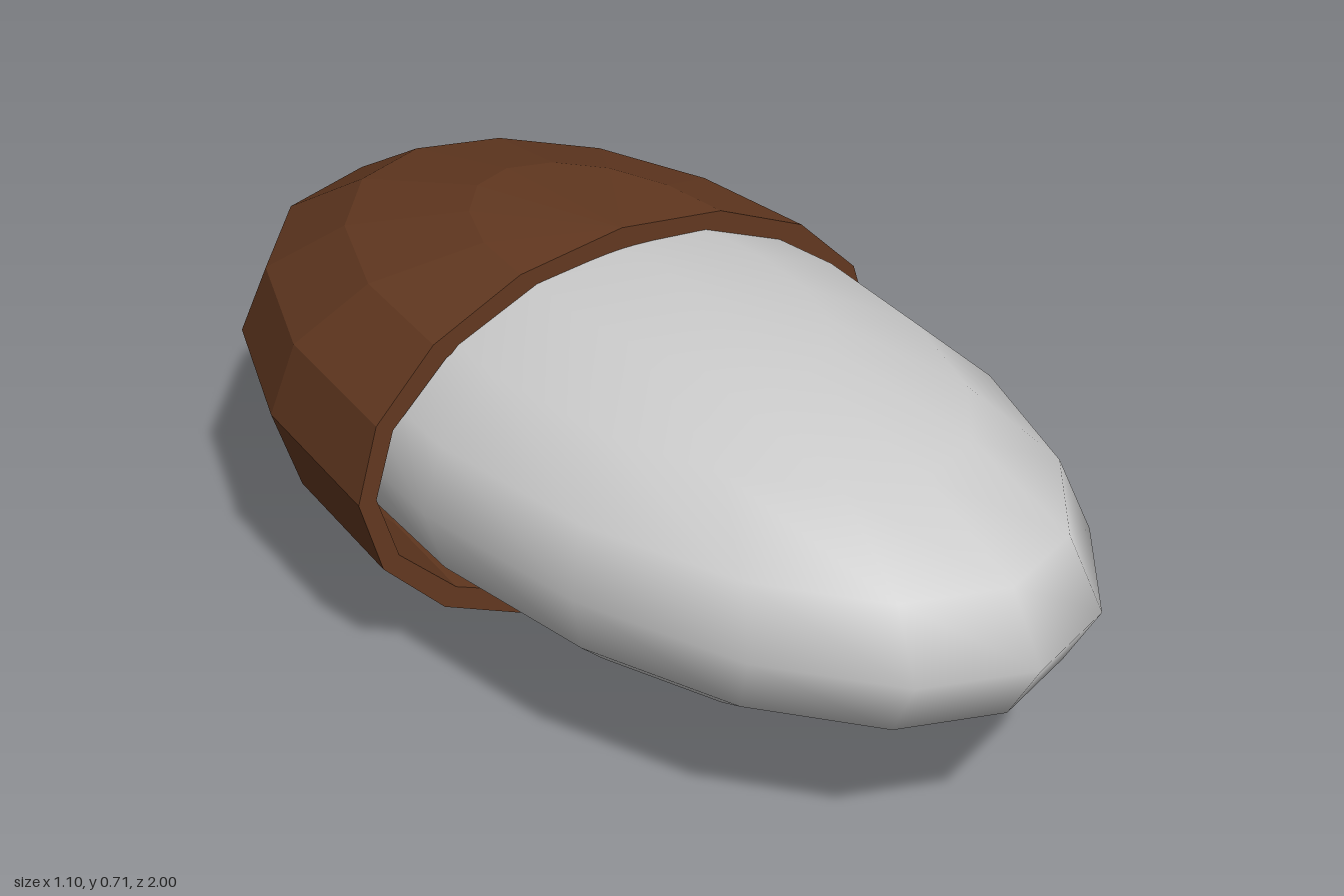
import * as THREE from 'three';

export function createModel() {
  const model = new THREE.Group();
  model.name = 'cappedPod';
  const grey = new THREE.MeshStandardMaterial({ color: 0xcccccc });
  const black = new THREE.MeshStandardMaterial({ color: 0x050505 });
  const brown = new THREE.MeshStandardMaterial({ color: 0x623820, flatShading: true });
  const brownInside = brown.clone();
  brownInside.side = THREE.BackSide;

  const add = (parent, name, geometry, material) => {
    const mesh = new THREE.Mesh(geometry, material);
    mesh.name = name;
    parent.add(mesh);
    return mesh;
  };

  // Smooth body: squashed sphere with its poles up and down
  const body = add(model, 'body', new THREE.SphereGeometry(1, 16, 8), grey);
  body.scale.set(0.5, 0.3, 0.97);
  body.position.set(0, 0.38, 0.03);

  // Dark pad covering the lowest ring of the body
  const pad = add(model, 'bottomPad',
    new THREE.SphereGeometry(1, 16, 1, 0, Math.PI * 2, Math.PI * 7 / 8, Math.PI / 8), black);
  pad.scale.copy(body.scale);
  pad.position.set(0, 0.375, 0.03);

  // Faceted hollow cap over the rear half, slightly skewed upward at the back
  const skew = new THREE.Matrix4().set(
    0.55, 0, 0, 0,
    0, 0.355, -0.024, 0.356,
    0, -0.008, 0.907, -0.093,
    0, 0, 0, 1);
  const inset = new THREE.Vector3(0.936, 0.876, 0.95);
  const cap = new THREE.Group();
  cap.name = 'cap';
  model.add(cap);

  const halfSphere = () => new THREE.SphereGeometry(1, 8, 8, Math.PI, Math.PI);
  add(cap, 'capOuter', halfSphere().applyMatrix4(skew), brown);
  add(cap, 'capInner', halfSphere().scale(inset.x, inset.y, inset.z).applyMatrix4(skew), brownInside);

  // Flat rim joining the outer and inner shells
  const ring = (rx, ry) => Array.from({ length: 16 }, (_, i) => {
    const a = i * Math.PI / 8;
    return new THREE.Vector2(rx * Math.cos(a), ry * Math.sin(a));
  });
  const rim = new THREE.Shape(ring(1, 1));
  rim.holes.push(new THREE.Path(ring(inset.x, inset.y)));
  add(cap, 'capRim', new THREE.ShapeGeometry(rim).applyMatrix4(skew), brown);

  return model;
}
